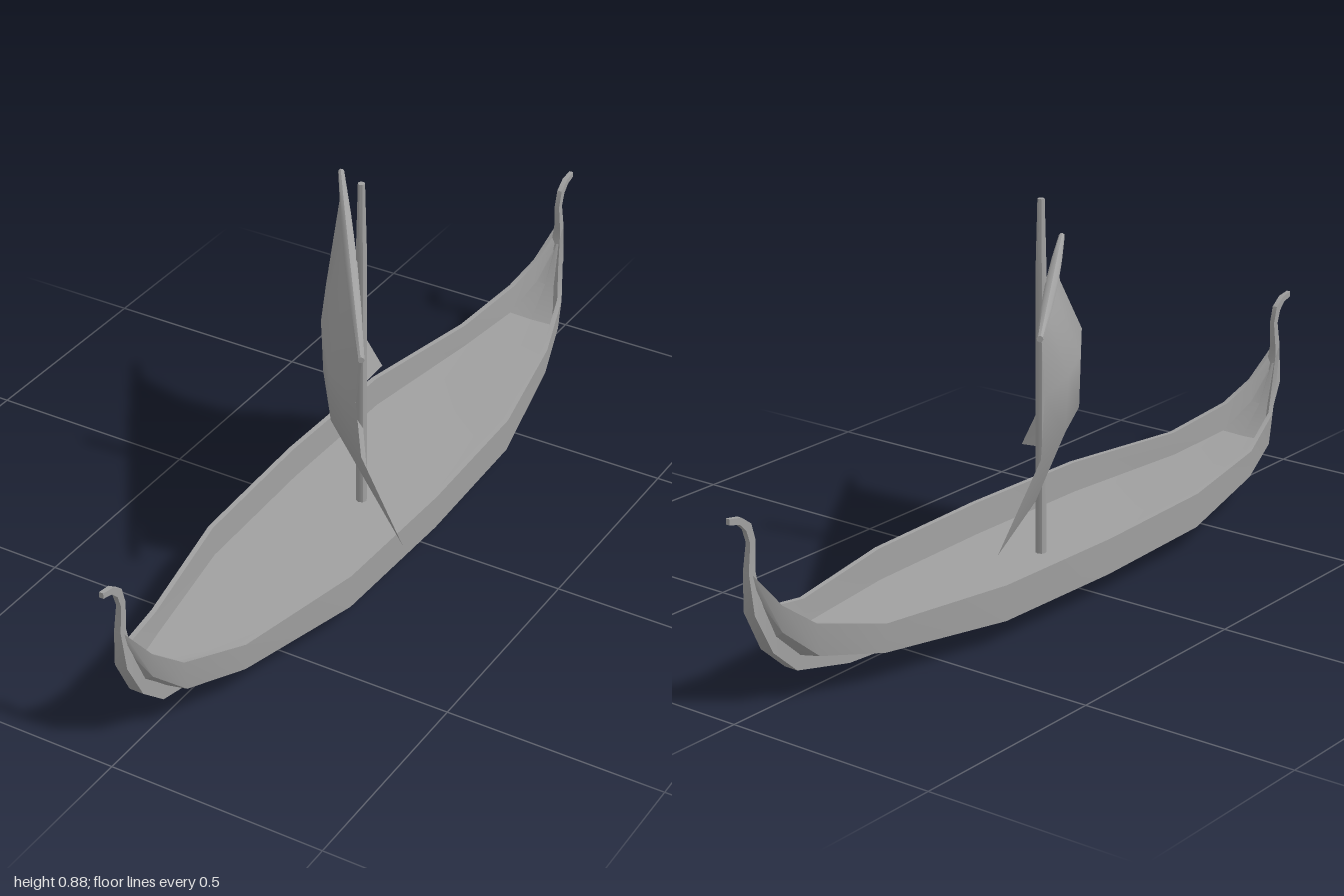
import * as THREE from 'three';
import { toCreasedNormals } from 'three/addons/utils/BufferGeometryUtils.js';

// Skin a list of cross-sections; closed sections wrap round, caps close the ends
function loft(rings, { closed = true, caps = false } = {}) {
  const n = rings[0].length;
  const index = [];
  for (let i = 0; i < rings.length - 1; i++) {
    for (let j = 0; j < (closed ? n : n - 1); j++) {
      const k = (j + 1) % n;
      const a = i * n + j, b = i * n + k, c = b + n, d = a + n;
      index.push(a, b, c, a, c, d);
    }
  }
  if (caps) {
    const e = (rings.length - 1) * n;
    for (let j = 1; j < n - 1; j++) index.push(0, j + 1, j, e, e + j, e + j + 1);
  }
  const g = new THREE.BufferGeometry();
  g.setAttribute('position', new THREE.Float32BufferAttribute(rings.flat(2), 3));
  g.setIndex(index);
  g.computeVertexNormals();
  return g;
}

// Repeat half a ship, given from midship to bow, towards the stern
const bothEnds = (half, section) => [
  ...half.slice(1).reverse().map((s) => section(s, -1)),
  ...half.map((s) => section(s, 1)),
];

export function createModel() {
  const group = new THREE.Group();
  const grey = new THREE.MeshStandardMaterial({ color: 0xa0a0a0 });
  grey.name = 'plain grey';
  const sailGrey = grey.clone();
  sailGrey.name = 'plain grey cloth';
  sailGrey.side = THREE.DoubleSide;

  const add = (name, geometry, material = grey) => {
    const mesh = new THREE.Mesh(geometry, material);
    mesh.name = name;
    group.add(mesh);
    return mesh;
  };

  // Hull: gunwale z, half-width, height; chine z, half-width, height; bottom height
  const stations = [
    [0, 0.193, 0.137, 0, 0.19, 0.053, 0.037],
    [0.353, 0.182, 0.137, 0.353, 0.18, 0.055, 0.038],
    [0.67, 0.118, 0.138, 0.67, 0.115, 0.073, 0.055],
    [0.83, 0.072, 0.18, 0.82, 0.07, 0.105, 0.09],
    [0.893, 0.04, 0.23, 0.89, 0.035, 0.17, 0.145],
    [0.947, 0.012, 0.305, 0.93, 0.011, 0.245, 0.235],
  ];
  const wall = 0.012;
  const hullSection = ([zg, wg, yg, zc, wc, yc, yb], s) => {
    const ig = Math.max(wg - wall, 0.003), ic = Math.max(wc - wall, 0.002);
    const zi = zc - (zc > 0.8 ? 0.008 : 0);
    const right = [
      [wc, yc, zc], [wg, yg, zg], [ig, yg, zg], [ic, yc + 0.01, zi],
    ];
    const left = right.map(([x, y, z]) => [-x, y, z]).reverse();
    return [[0, yb, zc], ...right, [0, yc + 0.008, zi], ...left]
      .map(([x, y, z]) => [x, y, z * s]);
  };
  const hull = add('hull', toCreasedNormals(loft(bothEnds(stations, hullSection)), 0.5));

  // Keel, stem and stern posts: outer z, y; inner z, y; half-width
  const keelHalf = [
    [0, 0, 0, 0.04, 0.017],
    [0.353, 0.003, 0.353, 0.041, 0.017],
    [0.67, 0.025, 0.67, 0.059, 0.017],
    [0.83, 0.063, 0.82, 0.094, 0.017],
    [0.9, 0.125, 0.882, 0.15, 0.017],
    [0.948, 0.22, 0.925, 0.24, 0.015],
    [0.954, 0.31, 0.935, 0.31, 0.008],
    [0.945, 0.37, 0.929, 0.372, 0.006],
    [0.955, 0.4, 0.94, 0.411, 0.006],
    [0.973, 0.418, 0.967, 0.431, 0.006],
    [1, 0.424, 1, 0.437, 0.005],
  ];
  const keelSection = ([zo, yo, zi, yi, w], s) => [
    [-w, yo, zo * s], [w, yo, zo * s], [w, yi, zi * s], [-w, yi, zi * s],
  ];
  const keel = add('keelAndPosts',
    toCreasedNormals(loft(bothEnds(keelHalf, keelSection), { caps: true }), 0.6));
  hull.position.x = keel.position.x = -0.002;

  // Mast, tapered above the yard
  const turned = (points) =>
    toCreasedNormals(new THREE.LatheGeometry(points.map((p) => new THREE.Vector2(...p)), 8), 0.9);
  const mast = add('mast', turned([[0, 0.045], [0.0125, 0.045], [0.0125, 0.7], [0.008, 0.875], [0, 0.875]]));
  mast.position.x = -0.004;

  // Yard, swung round and thickest in the middle
  const yard = add('yard', turned([
    [0, -0.404], [0.007, -0.404], [0.012, -0.2], [0.014, 0], [0.012, 0.2], [0.007, 0.404], [0, 0.404],
  ]));
  yard.position.set(-0.025, 0.684, 0.01);
  yard.quaternion.setFromUnitVectors(
    new THREE.Vector3(0, 1, 0), new THREE.Vector3(0.45, 0, 0.67).normalize());

  // Billowing sail, from yard to foot
  const sailRows = [
    [[-0.225, 0.678, -0.288], [-0.125, 0.674, -0.138], [-0.025, 0.678, 0.01], [0.076, 0.674, 0.152], [0.177, 0.678, 0.295]],
    [[-0.205, 0.53, -0.25], [-0.155, 0.53, -0.1], [-0.083, 0.53, 0.04], [0.03, 0.53, 0.195], [0.15, 0.53, 0.283]],
    [[-0.195, 0.39, -0.25], [-0.146, 0.4, -0.1], [-0.075, 0.405, 0.045], [0.037, 0.4, 0.198], [0.157, 0.39, 0.273]],
    [[-0.147, 0.19, -0.337], [-0.1, 0.245, -0.145], [0, 0.262, 0], [0.1, 0.245, 0.15], [0.253, 0.19, 0.262]],
  ];
  add('sail', loft(sailRows, { closed: false }), sailGrey);

  return group;
}
